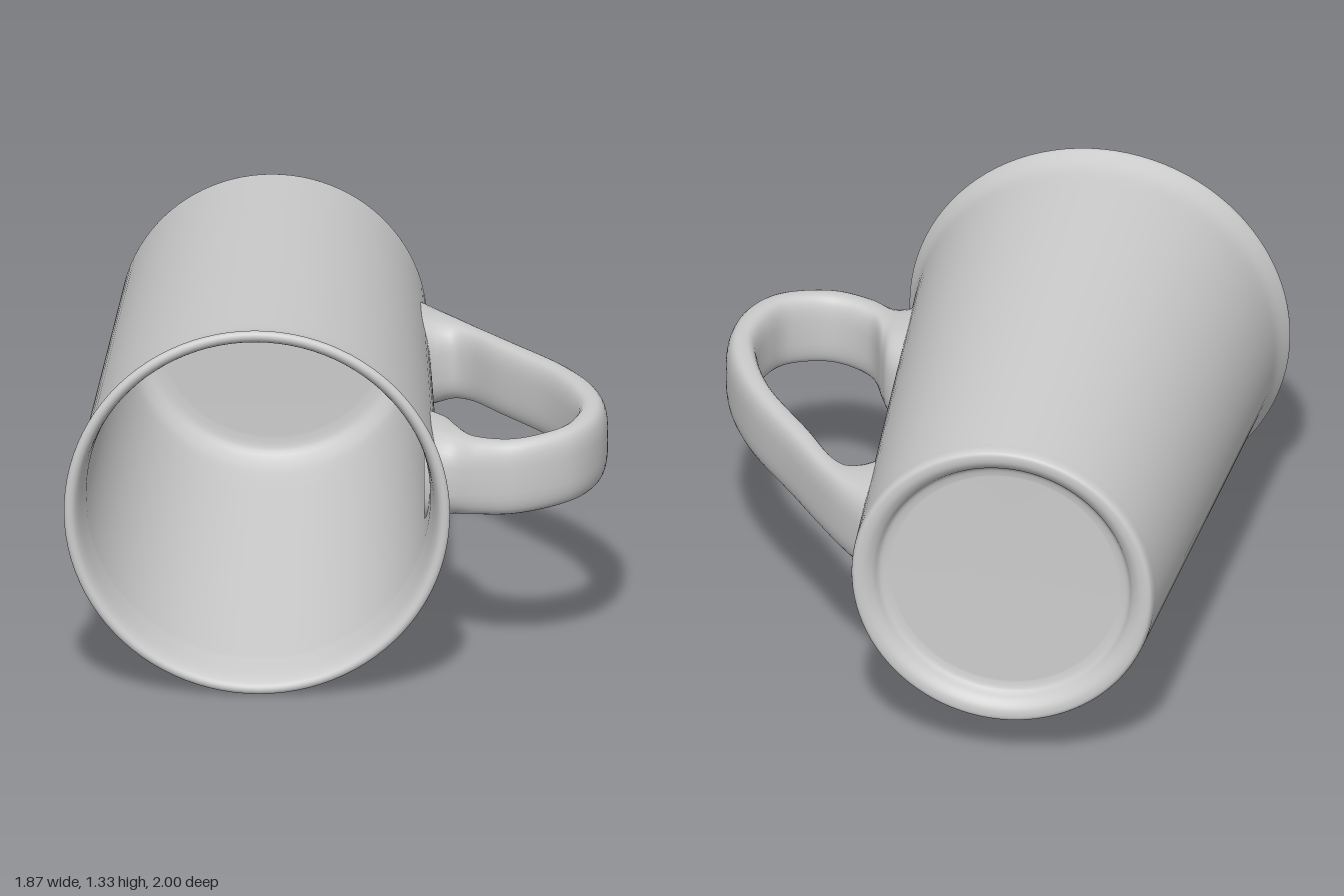
import * as THREE from 'three';

const material = new THREE.MeshStandardMaterial({ color: 0xcccccc });

// Closed wall profile [radius, distance along the axis]: foot, outside, rim, inside, floor
function createCup() {
  const corner = (pts) =>
    new THREE.SplineCurve(pts.map(([r, h]) => new THREE.Vector2(r, h)));
  const foot = corner([
    [0.4, -0.925], [0.435, -0.935], [0.455, -0.965], [0.48, -0.985], [0.505, -0.99],
    [0.522, -0.985], [0.53, -0.965], [0.532, -0.93],
  ]);
  const flareAndRim = corner([
    [0.627, 0.74], [0.634, 0.85], [0.643, 0.9], [0.657, 0.94], [0.667, 0.968],
    [0.662, 0.984], [0.645, 0.988], [0.627, 0.972], [0.612, 0.92], [0.595, 0.8],
  ]);
  const inside = corner([
    [0.515, -0.65], [0.505, -0.77], [0.49, -0.83], [0.455, -0.87], [0.4, -0.88],
  ]);
  const profile = [
    new THREE.Vector2(0, -0.92),
    ...foot.getPoints(28),
    ...flareAndRim.getPoints(36),
    ...inside.getPoints(16),
    new THREE.Vector2(0, -0.88),
  ];
  const cup = new THREE.Mesh(new THREE.LatheGeometry(profile, 96), material);
  cup.name = 'cup';
  // The cup lies on its side, opening forward, with a slight tilt
  const axis = new THREE.Vector3(-0.012, -0.01, 1).normalize();
  cup.quaternion.setFromUnitVectors(new THREE.Vector3(0, 1, 0), axis);
  cup.position.set(-0.261, 0.68, 0);
  return cup;
}

// Handle: rounded-rectangle sections between an outer and an inner edge curve
function createHandle() {
  // outer x, outer z, inner x, inner z, centre height, half width
  const stations = [
    [0.26, -0.76, 0.26, -0.38, 0.7, 0.17],
    [0.31, -0.71, 0.32, -0.42, 0.7, 0.155],
    [0.39, -0.62, 0.38, -0.435, 0.705, 0.138],
    [0.48, -0.5, 0.43, -0.4, 0.71, 0.13],
    [0.6, -0.33, 0.53, -0.25, 0.718, 0.13],
    [0.8, -0.04, 0.71, 0.01, 0.727, 0.132],
    [0.9, 0.18, 0.79, 0.2, 0.732, 0.133],
    [0.93, 0.36, 0.82, 0.34, 0.733, 0.133],
    [0.9, 0.54, 0.8, 0.48, 0.732, 0.133],
    [0.81, 0.67, 0.75, 0.58, 0.727, 0.133],
    [0.62, 0.752, 0.61, 0.645, 0.712, 0.133],
    [0.48, 0.735, 0.47, 0.58, 0.7, 0.136],
    [0.4, 0.71, 0.405, 0.43, 0.69, 0.145],
    [0.355, 0.71, 0.375, 0.36, 0.69, 0.155],
    [0.3, 0.73, 0.31, 0.31, 0.69, 0.17],
  ];
  const curve = (pick) => new THREE.CatmullRomCurve3(stations.map(pick));
  const outer = curve((s) => new THREE.Vector3(s[0], s[4], s[1]));
  const inner = curve((s) => new THREE.Vector3(s[2], s[4], s[3]));
  const width = curve((s, i) => new THREE.Vector3(s[5], i, 0));

  const steps = 112, sides = 32;
  const positions = [], indices = [];
  const soften = (v) => Math.sign(v) * Math.abs(v) ** 0.68;
  for (let i = 0; i <= steps; i++) {
    const t = i / steps;
    const o = outer.getPoint(t), n = inner.getPoint(t), w = width.getPoint(t).x;
    const centre = o.clone().add(n).multiplyScalar(0.5);
    const across = o.sub(n).multiplyScalar(0.5);
    for (let j = 0; j < sides; j++) {
      const a = (j / sides) * Math.PI * 2;
      const p = centre.clone().addScaledVector(across, soften(Math.cos(a)));
      positions.push(p.x, p.y + w * soften(Math.sin(a)), p.z);
      if (i < steps) {
        const k = (j + 1) % sides, row = i * sides, next = row + sides;
        indices.push(row + j, row + k, next + k, row + j, next + k, next + j);
      }
    }
  }
  const geometry = new THREE.BufferGeometry();
  geometry.setAttribute('position', new THREE.Float32BufferAttribute(positions, 3));
  geometry.setIndex(indices);
  geometry.computeVertexNormals();
  const handle = new THREE.Mesh(geometry, material);
  handle.name = 'handle';
  return handle;
}

export function createModel() {
  const mug = new THREE.Group();
  mug.name = 'mug';
  mug.add(createCup(), createHandle());
  return mug;
}
